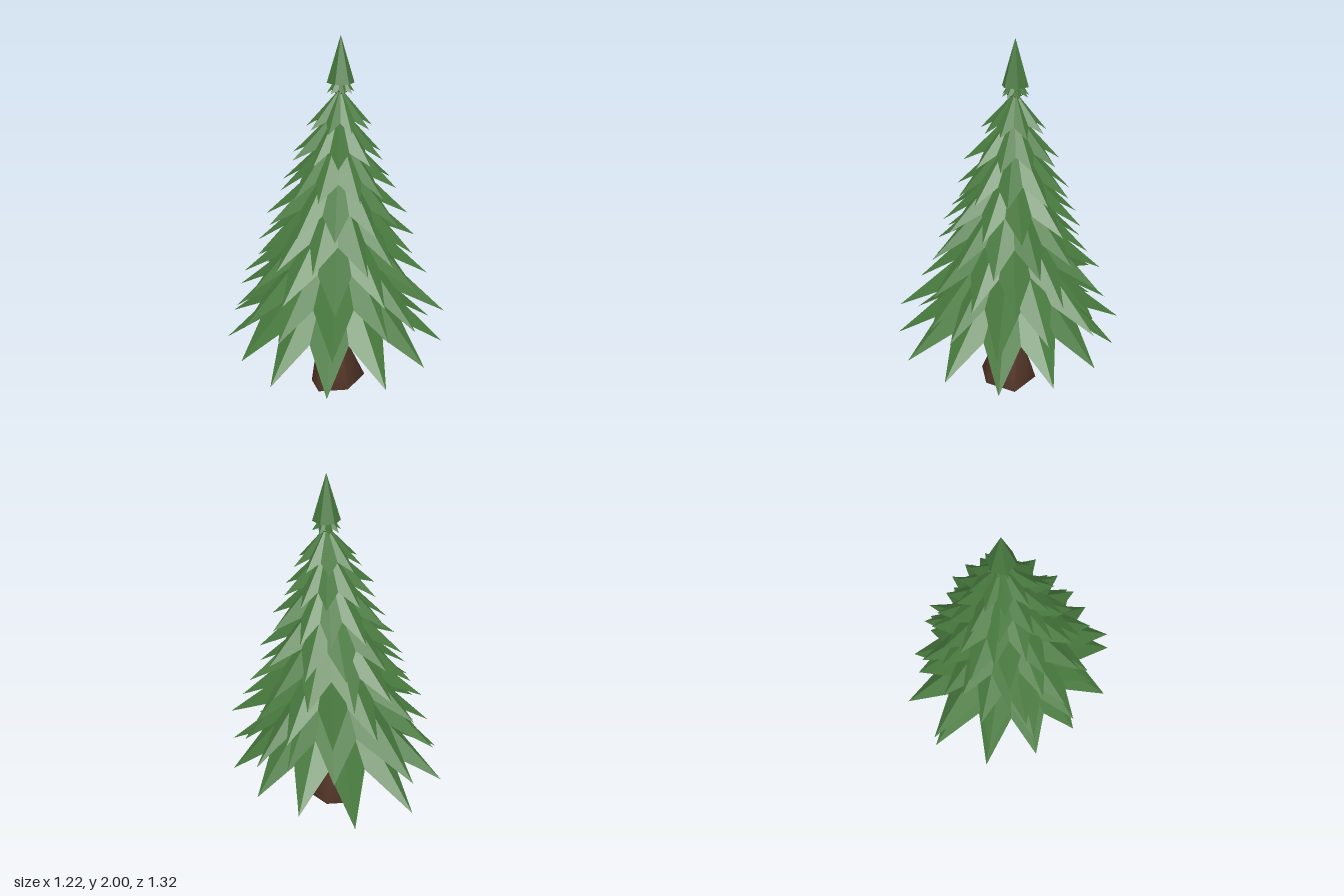
import * as THREE from 'three';

const needle = new THREE.MeshStandardMaterial({ color: 0x47783d, flatShading: true });
needle.name = 'needleGreen';
const bark = new THREE.MeshStandardMaterial({ color: 0x593a2b });
bark.name = 'barkBrown';

// Small seeded generator for natural irregularity
let seed = 7;
const rand = () => {
  seed = (seed * 16807) % 2147483647;
  return seed / 2147483647;
};
const jitter = (amount) => (rand() * 2 - 1) * amount;

// The trunk leans slightly, so its centre shifts with height
const centre = (y) => {
  const t = THREE.MathUtils.clamp((y - 0.4) / 1.35, 0, 1);
  return [0.042 * t, 0.02 - 0.028 * t];
};

function addMesh(group, name, geometry, material) {
  const mesh = new THREE.Mesh(geometry, material);
  mesh.name = name;
  group.add(mesh);
  return mesh;
}

// Star-shaped skirt, hollow below: ridges run down to the tips, valleys lie between them
function skirtGeometry(tips, tipY, radius) {
  const [cx, cz] = centre(tipY);
  const point = (a, r, y) => [cx + Math.cos(a) * r, y, cz + Math.sin(a) * r];
  const apexY = tipY + 0.05 + 0.87 * radius;
  const [ax, az] = centre(apexY);
  const apex = [ax, apexY, az];
  const n = tips.length;
  const outer = tips.map(({ a, r, dy }) => point(a, r, tipY + dy));
  const valleys = tips.map(({ a }, i) => {
    const next = tips[(i + 1) % n].a + (i === n - 1 ? Math.PI * 2 : 0);
    return point((a + next) / 2, radius * (0.65 + jitter(0.02)), tipY + radius * (0.255 + jitter(0.01)));
  });
  const under = [cx, tipY + radius * 0.39, cz];
  const positions = [];
  for (let i = 0; i < n; i++) {
    const tip = outer[i], next = valleys[i], prev = valleys[(i + n - 1) % n];
    positions.push(...apex, ...next, ...tip, ...apex, ...tip, ...prev);
    // The underside of each tip is one flat triangle, closed by an inner ceiling
    positions.push(...prev, ...tip, ...next, ...under, ...prev, ...next);
  }
  const geometry = new THREE.BufferGeometry();
  geometry.setAttribute('position', new THREE.Float32BufferAttribute(positions, 3));
  geometry.computeVertexNormals();
  return geometry;
}

// Six-sided smooth trunk with an uneven flared foot
function trunkGeometry() {
  const foot = [[0.19, 0.02], [0.07, 0.17], [-0.1, 0.17], [-0.13, 0.05], [-0.1, -0.13], [0.06, -0.13]];
  const stem = [[0.27, 0.067], [0.45, 0.063], [0.8, 0.052], [1.3, 0.033], [1.78, 0.012]];
  const positions = foot.flatMap(([x, z]) => [x, 0, z]);
  for (const [y, r] of stem) {
    const [cx, cz] = centre(y);
    for (let i = 0; i < 6; i++) {
      const a = (i / 6) * Math.PI * 2;
      positions.push(cx + Math.cos(a) * r, y, cz + Math.sin(a) * r);
    }
  }
  const bottom = positions.length / 3;
  positions.push(0.02, 0, 0.02);
  const index = [];
  for (let i = 0; i < 6; i++) {
    const j = (i + 1) % 6;
    index.push(bottom, i, j);
    for (let k = 0; k < stem.length; k++) {
      const a = k * 6 + i, b = k * 6 + j;
      index.push(a, a + 6, b, b, a + 6, b + 6);
    }
  }
  const geometry = new THREE.BufferGeometry();
  geometry.setAttribute('position', new THREE.Float32BufferAttribute(positions, 3));
  geometry.setIndex(index);
  geometry.computeVertexNormals();
  return geometry;
}

export function createModel() {
  seed = 7;
  const tree = new THREE.Group();
  tree.name = 'pineTree';
  addMesh(tree, 'trunk', trunkGeometry(), bark);

  // Bare twigs below the lowest skirt and under the crown
  const up = new THREE.Vector3(0, 1, 0);
  const addTwigs = (y, inner, length, count, turn) => {
    const [cx, cz] = centre(y);
    for (let i = 0; i < count; i++) {
      const a = turn + (i / count) * Math.PI * 2;
      const dir = new THREE.Vector3(Math.cos(a), 0.6, Math.sin(a)).normalize();
      const twig = addMesh(tree, 'twig', new THREE.CylinderGeometry(length * 0.04, length * 0.08, length, 5), bark);
      twig.quaternion.setFromUnitVectors(up, dir);
      twig.position.set(cx + Math.cos(a) * inner, y, cz + Math.sin(a) * inner)
        .addScaledVector(dir, length / 2);
    }
  };
  addTwigs(0.39, 0.045, 0.1, 5, 0.8);
  addTwigs(1.7, 0.008, 0.04, 5, 0.2);

  // The two widest skirts, with their tips placed by hand as x, z
  const lowSkirts = [
    [0.3, 0.64, [
      [0.61, 0.18], [0.45, 0.44], [0.21, 0.62], [-0.1, 0.66], [-0.38, 0.53], [-0.53, 0.27], [-0.61, 0],
      [-0.58, -0.31], [-0.37, -0.57], [-0.05, -0.66], [0.24, -0.54], [0.46, -0.37], [0.6, -0.11],
    ]],
    [0.5, 0.58, [
      [0.61, 0.185], [0.4, 0.4], [0.24, 0.49], [-0.07, 0.64], [-0.33, 0.44], [-0.51, 0.26], [-0.55, 0],
      [-0.53, -0.27], [-0.365, -0.56], [0.05, -0.54], [0.29, -0.4], [0.455, -0.36], [0.52, -0.1],
    ]],
  ];
  lowSkirts.forEach(([y, radius, list], t) => {
    const [cx, cz] = centre(y);
    const tips = list.map(([x, z]) => ({
      a: Math.atan2(z - cz, x - cx), r: Math.hypot(x - cx, z - cz), dy: 0,
    })).sort((p, q) => p.a - q.a);
    addMesh(tree, `branchSkirt${t + 1}`, skirtGeometry(tips, y, radius), needle);
  });

  // Upper skirts as tip height, radius, number of tips
  const tiers = [
    [0.69, 0.5, 12], [0.86, 0.445, 12], [1.03, 0.385, 11],
    [1.2, 0.32, 11], [1.37, 0.25, 10], [1.53, 0.175, 9], [1.71, 0.075, 8],
  ];
  tiers.forEach(([y, radius, count], t) => {
    const turn = 0.1 + t * 0.23;
    const tips = Array.from({ length: count }, (_, i) => ({
      a: turn + ((i + jitter(0.12)) / count) * Math.PI * 2,
      r: radius * (1 + jitter(0.05)),
      dy: jitter(0.01) * Math.min(1, radius * 3),
    }));
    addMesh(tree, `branchSkirt${t + 3}`, skirtGeometry(tips, y, radius), needle);
  });

  // Pointed crown
  const crown = addMesh(tree, 'crown', new THREE.ConeGeometry(0.072, 0.24, 6), needle);
  crown.rotation.y = Math.PI / 2;
  crown.position.set(0.042, 1.88, -0.008);
  return tree;
}
